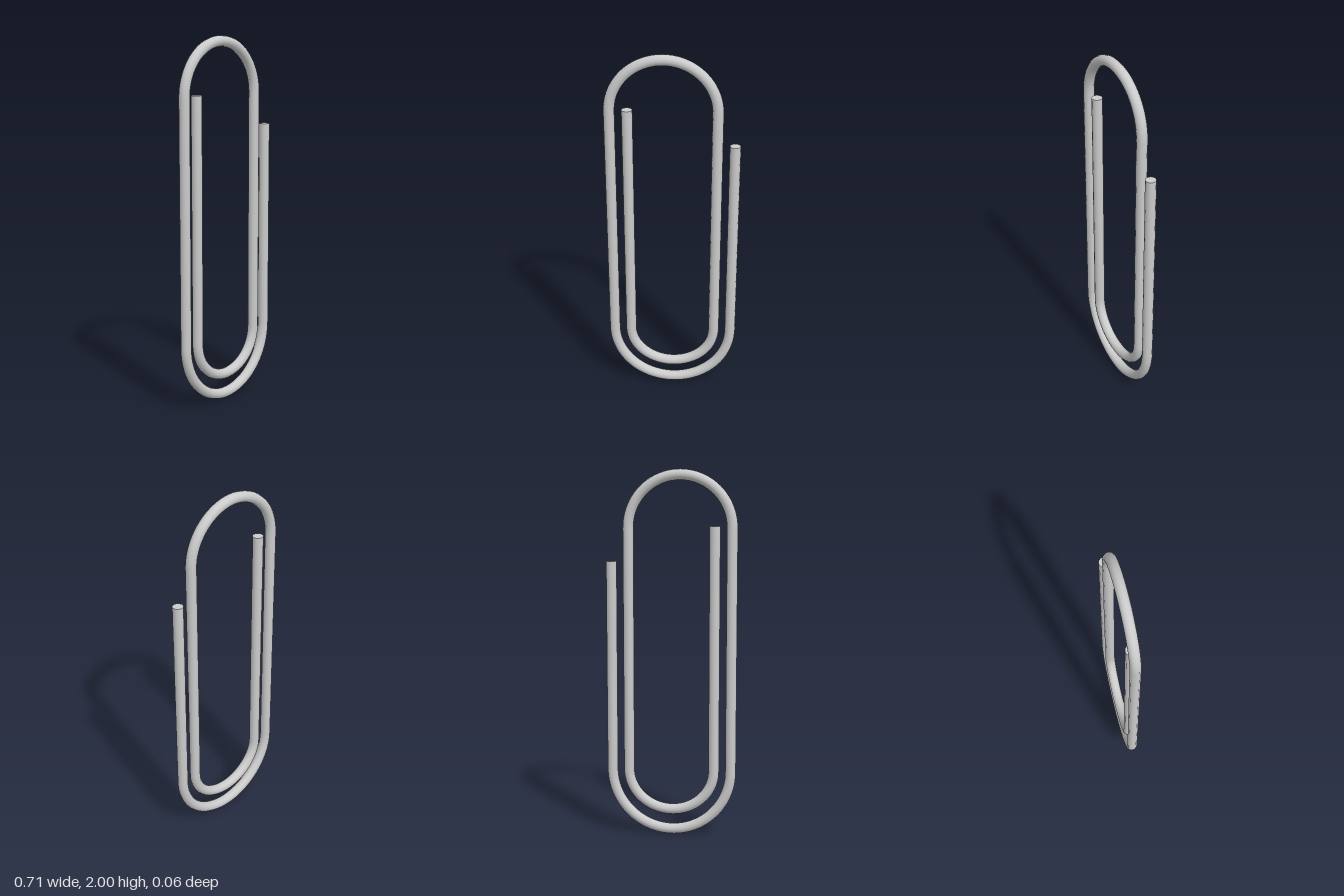
import * as THREE from 'three';

const R = 0.029;      // wire radius
const SIDES = 12;
const OUTER = 0.328;  // half width of the outer loop
const INNER = 0.235;  // half width of the inner loop
const BEND_Y = 0.36;  // where the lower bends begin
const TOP_Y = 1.69;   // where the upper bend begins

// Lifts a flat path into space so a tube can follow it
class FlatCurve extends THREE.Curve {
  constructor(path) {
    super();
    this.path = path;
    this.arcLengthDivisions = 1000;
  }
  getPoint(t, target = new THREE.Vector3()) {
    const p = this.path.getPoint(t);
    return target.set(p.x, p.y, 0);
  }
}

export function createModel() {
  const group = new THREE.Group();
  group.name = 'paperClip';
  const material = new THREE.MeshStandardMaterial({ color: 0xcccccc });

  // Wire centre line, from the outer free end to the inner free end
  const topRadius = (OUTER + INNER) / 2;
  const ends = [[OUTER, 1.51], [-INNER, 1.7]];
  const path = new THREE.Path();
  path.moveTo(...ends[0]);
  path.lineTo(OUTER, BEND_Y);
  path.absellipse(0, BEND_Y, OUTER, BEND_Y - R, 0, Math.PI, true);
  path.lineTo(-OUTER, TOP_Y);
  path.absellipse((INNER - OUTER) / 2, TOP_Y, topRadius, topRadius, Math.PI, 0, true);
  path.lineTo(INNER, BEND_Y);
  path.absellipse(0, BEND_Y, INNER, 0.219, 0, Math.PI, true);
  path.lineTo(...ends[1]);

  const wire = new THREE.Mesh(
    new THREE.TubeGeometry(new FlatCurve(path), 360, R, SIDES, false), material);
  wire.name = 'bentWire';
  group.add(wire);

  // Flat cut faces on both free ends
  ends.forEach(([x, y], i) => {
    const cap = new THREE.Mesh(new THREE.CircleGeometry(R, SIDES), material);
    cap.name = i === 0 ? 'outerWireEnd' : 'innerWireEnd';
    cap.rotation.x = -Math.PI / 2;
    cap.position.set(x, y, 0);
    group.add(cap);
  });

  return group;
}
